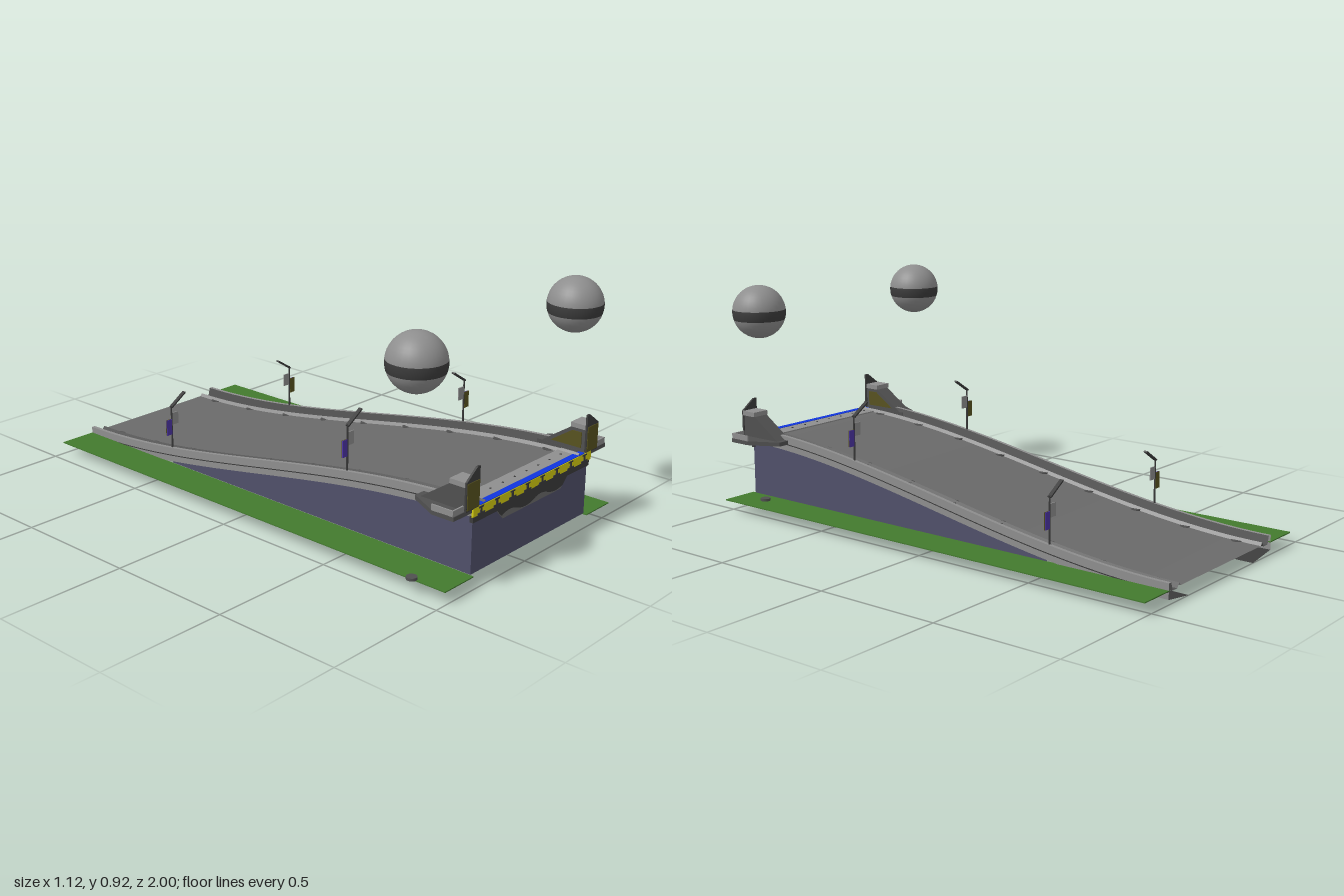
import * as THREE from 'three';

const flat = (hex, name) => {
  const m = new THREE.MeshStandardMaterial({ color: hex, side: THREE.DoubleSide });
  m.name = name;
  return m;
};
const M = {
  road: flat(0x6a6a6a, 'asphalt grey'),
  light: flat(0x8e8e8e, 'light grey'),
  dark: flat(0x3c3c3c, 'dark grey'),
  trough: flat(0x505050, 'mid grey'),
  wall: flat(0x50506a, 'slate blue'),
  grass: flat(0x437a2e, 'grass green'),
  yellow: flat(0xd6ce10, 'yellow'),
  olive: flat(0x57521f, 'dark yellow'),
  blue: flat(0x1035dd, 'blue'),
  purple: flat(0x4c34a4, 'purple'),
};

const CX = 0.047;    // centre line of the ramp
const GROUND = 0.05;
const DECK = 0.297;

// height of the road surface along the ramp
const roadY = (z) => {
  const t = THREE.MathUtils.clamp((z + 1) / 2, 0, 1);
  return 0.05 + 0.245 * t * t * (3 - 2 * t);
};

export function createModel() {
  const model = new THREE.Group();
  model.name = 'rampModel';

  const add = (parent, name, geo, mat, x = 0, y = 0, z = 0) => {
    const mesh = new THREE.Mesh(geo, mat);
    mesh.name = name;
    mesh.position.set(x, y, z);
    parent.add(mesh);
    return mesh;
  };
  const box = (parent, name, mat, w, h, d, x, y, z) =>
    add(parent, name, new THREE.BoxGeometry(w, h, d), mat, x, y, z);

  // strip running along z between two edges, each given as z -> [x, y]
  const ribbon = (name, mat, a, b, z0 = -1, z1 = 0.99, n = 40) => {
    const pos = [], idx = [];
    for (let i = 0; i <= n; i++) {
      const z = z0 + ((z1 - z0) * i) / n;
      pos.push(...a(z), z, ...b(z), z);
      if (i < n) {
        const k = i * 2;
        idx.push(k, k + 2, k + 1, k + 1, k + 2, k + 3);
      }
    }
    const g = new THREE.BufferGeometry();
    g.setAttribute('position', new THREE.Float32BufferAttribute(pos, 3));
    g.setIndex(idx);
    g.computeVertexNormals();
    return add(model, name, g, mat);
  };
  const edge = (dx, dy) => (z) => [CX + dx, roadY(z) + dy];
  const polygon = (pts, depth) =>
    new THREE.ExtrudeGeometry(new THREE.Shape(pts.map((p) => new THREE.Vector2(...p))),
      { depth, bevelEnabled: false });

  // Road surface
  ribbon('road', M.road, edge(-0.278, 0), edge(0.278, 0));

  // Curbs, side walls and grass, mirrored about the ramp's centre
  const profile = [
    [0.275, 0, M.light], [0.284, 0.012, M.trough], [0.296, -0.006, M.trough],
    [0.326, -0.006, M.trough], [0.334, 0.025, M.light], [0.349, 0.025, M.light],
    [0.349, -0.002, M.light], [0.349, -0.032, M.dark], [0.22, -0.05],
  ];
  for (const s of [-1, 1]) {
    for (let i = 0; i < profile.length - 1; i++) {
      const [ax, ay, mat] = profile[i], [bx, by] = profile[i + 1];
      ribbon('curb', mat, edge(s * ax, ay), edge(s * bx, by));
    }
    // thin groove along the outer face
    ribbon('curbGroove', M.dark, edge(s * 0.3505, -0.004), edge(s * 0.3505, -0.008));
    ribbon('sideWall', M.wall, () => [CX + s * 0.345, GROUND],
      (z) => [CX + s * 0.345, Math.max(GROUND, roadY(z) - 0.03)], -0.5, 0.985);
    // round studs under the curb
    for (let i = 0; i < 9; i++) {
      const z = -0.9 + i * 0.22;
      add(model, 'curbStud', new THREE.CylinderGeometry(0.022, 0.022, 0.008, 16),
        M.trough, CX + s * 0.28, roadY(z) - 0.002, z);
    }
  }
  box(model, 'grassRight', M.grass, 0.155, 0.004, 2, -0.3775, GROUND - 0.002, 0);
  box(model, 'grassLeft', M.grass, 0.15, 0.004, 2, 0.465, GROUND - 0.002, 0);

  // Front wall and the beam above it
  box(model, 'frontWall', M.wall, 0.69, 0.2, 0.006, CX, 0.15, 0.982);
  box(model, 'frontBeam', M.dark, 0.7, 0.024, 0.014, CX, 0.254, 0.984);
  add(model, 'apronBase', polygon(
    [[-0.215, 0.245], [-0.175, 0.202], [0.175, 0.202], [0.215, 0.245]], 0.003), M.road, CX, 0, 0.985);
  const scallops = new THREE.Shape();
  scallops.moveTo(-0.215, 0.246);
  scallops.lineTo(-0.185, 0.216);
  for (let i = 0; i < 4; i++) {
    const x = -0.185 + i * 0.0925;
    scallops.quadraticCurveTo(x + 0.046, i % 2 ? 0.2 : 0.238, x + 0.0925, 0.216);
  }
  scallops.lineTo(0.215, 0.246);
  add(model, 'apronScallops', new THREE.ExtrudeGeometry(scallops,
    { depth: 0.003, bevelEnabled: false }), M.dark, CX, 0, 0.988);

  // Yellow edge with dark brackets
  box(model, 'edgeStrip', M.yellow, 0.71, 0.032, 0.008, CX, 0.281, 0.991);
  for (let i = 0; i < 8; i++) {
    const x = CX - 0.312 + i * 0.089;
    box(model, 'bracketTop', M.dark, 0.026, 0.005, 0.003, x, 0.293, 0.996);
    box(model, 'bracketWeb', M.dark, 0.01, 0.024, 0.003, x, 0.28, 0.996);
    box(model, 'bracketFoot', M.dark, 0.04, 0.008, 0.003, x, 0.269, 0.996);
  }

  // Blue line and light band with studs on the deck
  box(model, 'bluePaint', M.blue, 0.63, 0.005, 0.026, CX, DECK, 0.98);
  box(model, 'deckBand', M.light, 0.61, 0.005, 0.065, CX, DECK - 0.001, 0.933);
  for (let i = 0; i < 8; i++)
    box(model, 'deckStud', M.dark, 0.006, 0.002, 0.006, CX - 0.25 + i * 0.071, DECK + 0.0025, 0.935);

  // Corner towers, built for +x and mirrored
  for (const s of [-1, 1]) {
    const tower = new THREE.Group();
    tower.name = s > 0 ? 'leftTower' : 'rightTower';
    tower.position.x = CX;
    tower.scale.x = s;
    model.add(tower);
    // platform
    const base = polygon([[0.325, -0.99], [0.457, -0.99], [0.457, -0.9], [0.395, -0.78], [0.325, -0.78]], 0.016);
    base.rotateX(-Math.PI / 2);
    add(tower, 'platform', base, M.trough, 0, 0.282, 0);
    box(tower, 'platformRim', M.light, 0.06, 0.022, 0.006, 0.427, 0.308, 0.984);
    box(tower, 'platformRim', M.light, 0.006, 0.022, 0.09, 0.454, 0.308, 0.942);
    // sloped body
    const body = polygon([[-0.985, 0.298], [-0.985, 0.385], [-0.93, 0.385], [-0.8, 0.298]], 0.065);
    body.rotateY(Math.PI / 2);
    add(tower, 'towerBody', body, M.trough, 0.326, 0, 0);
    box(tower, 'towerCap', M.light, 0.072, 0.018, 0.065, 0.36, 0.391, 0.955);
    const stripe = polygon([[-0.97, 0.31], [-0.97, 0.37], [-0.93, 0.37], [-0.84, 0.31]], 0.003);
    stripe.rotateY(Math.PI / 2);
    add(tower, 'towerStripe', stripe, M.olive, 0.3225, 0, 0);
    // front shield with warning panel
    add(tower, 'shield', polygon([[0.322, 0.295], [0.394, 0.295], [0.394, 0.4],
      [0.337, 0.442], [0.322, 0.442]], 0.008), M.dark, 0, 0, 0.986);
    box(tower, 'warningPanel', M.olive, 0.066, 0.095, 0.003, 0.358, 0.348, 0.995);
  }

  // Street lamps: the far side is the near side turned half a turn
  for (const s of [-1, 1]) {
    for (const z of [0.425, -0.505]) {
      const lamp = new THREE.Group();
      lamp.name = 'streetLamp';
      lamp.position.set(CX + s * 0.339, roadY(z), z);
      if (s > 0) lamp.rotation.y = Math.PI;
      model.add(lamp);
      add(lamp, 'pole', new THREE.CylinderGeometry(0.003, 0.004, 0.2, 8), M.dark, 0, 0.1, 0);
      const arm = box(lamp, 'lampArm', M.dark, 0.086, 0.006, 0.015, 0.035, 0.218, 0);
      arm.rotation.z = 0.57;
      box(lamp, 'bannerFront', M.purple, 0.026, 0.064, 0.003, -0.015, 0.113, 0.002);
      box(lamp, 'bannerBack', M.olive, 0.026, 0.064, 0.003, -0.015, 0.113, -0.002);
      box(lamp, 'sign', M.light, 0.032, 0.05, 0.004, 0.018, 0.145, 0);
    }
  }

  // Floating balls with a dark belt, and their ground discs
  const R = 0.104;
  const t1 = Math.acos(0.01 / R), t2 = Math.acos(-0.03 / R);
  const zone = (a, b, n) => new THREE.SphereGeometry(R, 32, n, 0, Math.PI * 2, a, b - a);
  for (const x of [-0.457, 0.453]) {
    const ball = new THREE.Group();
    ball.name = 'ball';
    ball.position.set(x, 0.815, 0.86);
    model.add(ball);
    add(ball, 'ballTop', zone(0, t1, 10), M.light);
    add(ball, 'ballBelt', zone(t1, t2, 4), M.dark);
    add(ball, 'ballBottom', zone(t2, Math.PI, 8), M.light);
    add(model, 'groundDisc', new THREE.CylinderGeometry(0.02, 0.02, 0.01, 16), M.trough, x, 0.056, 0.86);
  }
  return model;
}
